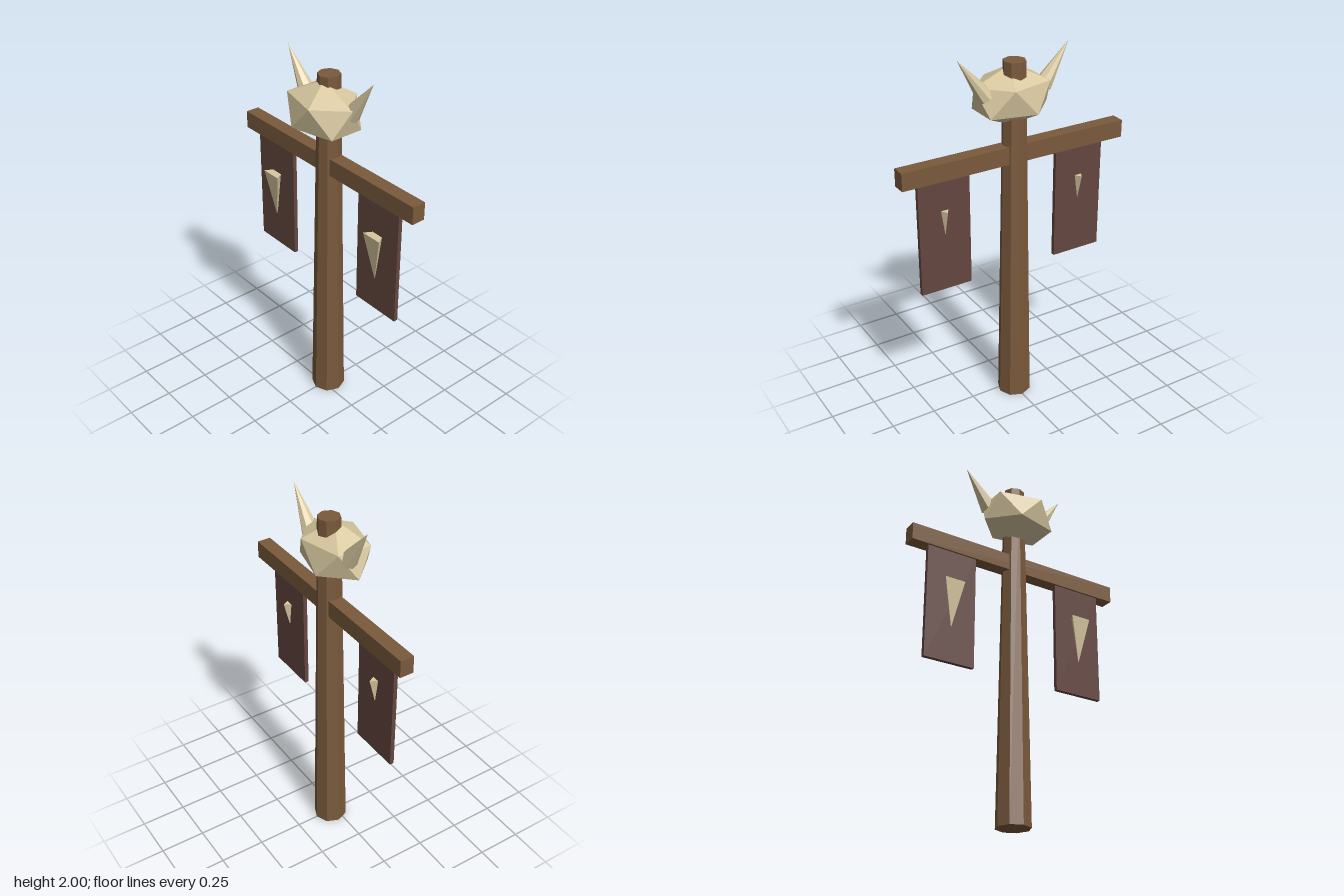
import * as THREE from 'three';

const material = (color) => new THREE.MeshStandardMaterial({ color, flatShading: true });

export function createModel() {
  const model = new THREE.Group();
  model.name = 'bannerTotem';
  const wood = material(0x7a5a3c);
  const cloth = material(0x64463f);
  const bone = material(0xd8c8a0);
  const poleZ = -0.034;

  const add = (name, geometry, mat, x, y, z) => {
    const mesh = new THREE.Mesh(geometry, mat);
    mesh.name = name;
    mesh.position.set(x, y, z);
    model.add(mesh);
    return mesh;
  };

  // Tapered octagonal pole and the crossbeam through it
  add('pole', new THREE.CylinderGeometry(0.059, 0.093, 1.95, 8), wood, 0, 0.975, poleZ);
  add('crossbeam', new THREE.BoxGeometry(1.3, 0.095, 0.076), wood, 0, 1.467, poleZ);

  // Faceted skull: icosahedron stood on a corner, then stretched sideways
  const skull = new THREE.IcosahedronGeometry(1, 0);
  skull.rotateZ(-Math.atan(2 / (1 + Math.sqrt(5))));
  skull.scale(0.237, 0.158, 0.178);
  add('skull', skull, bone, 0, 1.763, -0.002);

  const lean = THREE.MathUtils.degToRad(36);
  const hornLength = 0.26;
  for (const [label, side] of [['left', 1], ['right', -1]]) {
    // Horn leaning outward, placed by its tip
    const horn = add(label + 'Horn', new THREE.ConeGeometry(0.047, hornLength, 8), bone,
      side * (0.317 - Math.sin(lean) * hornLength / 2),
      2 - Math.cos(lean) * hornLength / 2, poleZ);
    horn.rotation.z = -side * lean;

    // Hanging banner
    add(label + 'Banner', new THREE.BoxGeometry(0.29, 0.645, 0.023), cloth, side * 0.405, 1.1075, -0.018);

    // Three-sided tooth pushed through the banner, point down
    const tooth = add(label + 'Tooth', new THREE.ConeGeometry(0.0675, 0.265, 3), bone, side * 0.405, 1.107, 0.002);
    tooth.rotation.x = Math.PI;
  }

  return model;
}
